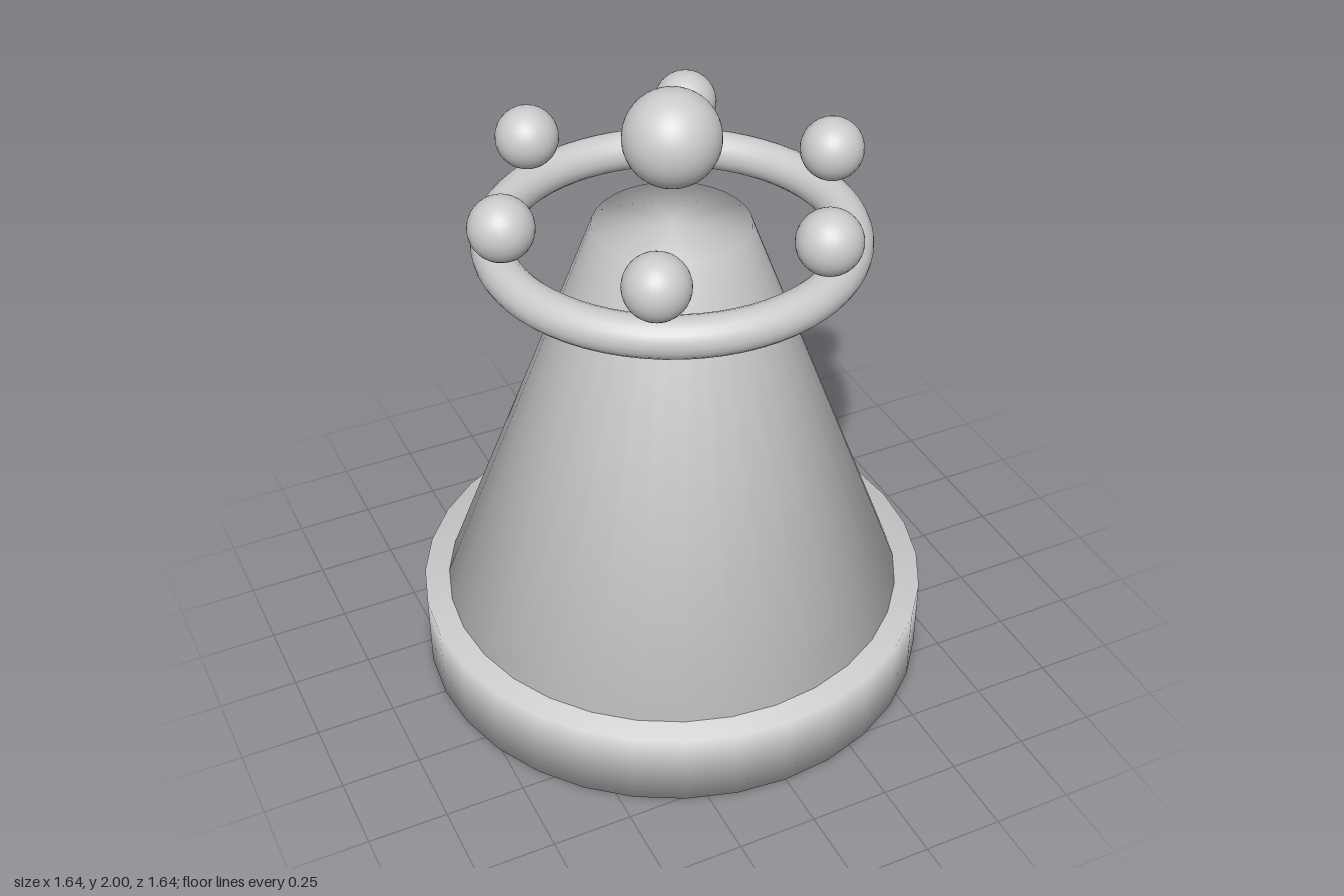
import * as THREE from 'three';
import { mergeVertices } from 'three/addons/utils/BufferGeometryUtils.js';

const material = new THREE.MeshStandardMaterial({ color: 0xcccccc });

function addPart(parent, name, geometry, x, y, z) {
  const mesh = new THREE.Mesh(geometry, material);
  mesh.name = name;
  mesh.position.set(x, y, z);
  parent.add(mesh);
  return mesh;
}

// Closed round block whose rims are shaded smoothly into its caps
function softDrum(topRadius, bottomRadius, height) {
  const drum = new THREE.CylinderGeometry(topRadius, bottomRadius, height, 32);
  drum.deleteAttribute('uv');
  drum.deleteAttribute('normal');
  const welded = mergeVertices(drum);
  welded.computeVertexNormals();
  return welded;
}

export function createModel() {
  const model = new THREE.Group();
  model.name = 'crownedPiece';

  // Foot and tapering body
  const footHeight = 0.25, bodyHeight = 1.32;
  addPart(model, 'base', softDrum(0.82, 0.82, footHeight), 0, footHeight / 2, 0);
  addPart(model, 'body', softDrum(0.24, 0.74, bodyHeight), 0, footHeight + bodyHeight / 2, 0);

  // Crown: ring, six small balls resting on it, and a large ball in the middle
  const crown = new THREE.Group();
  crown.name = 'crown';
  model.add(crown);
  const ring = addPart(crown, 'crownRing', new THREE.TorusGeometry(0.535, 0.0625, 20, 64), 0, 1.527, 0);
  ring.rotation.x = Math.PI / 2;

  const smallBall = new THREE.SphereGeometry(0.098, 32, 20);
  for (let i = 0; i < 6; i++) {
    const a = (i * Math.PI) / 3;
    addPart(crown, 'crownBall', smallBall, 0.535 * Math.cos(a), 1.69, 0.535 * Math.sin(a));
  }
  addPart(crown, 'topBall', new THREE.SphereGeometry(0.147, 40, 24), 0, 1.853, 0);

  return model;
}
